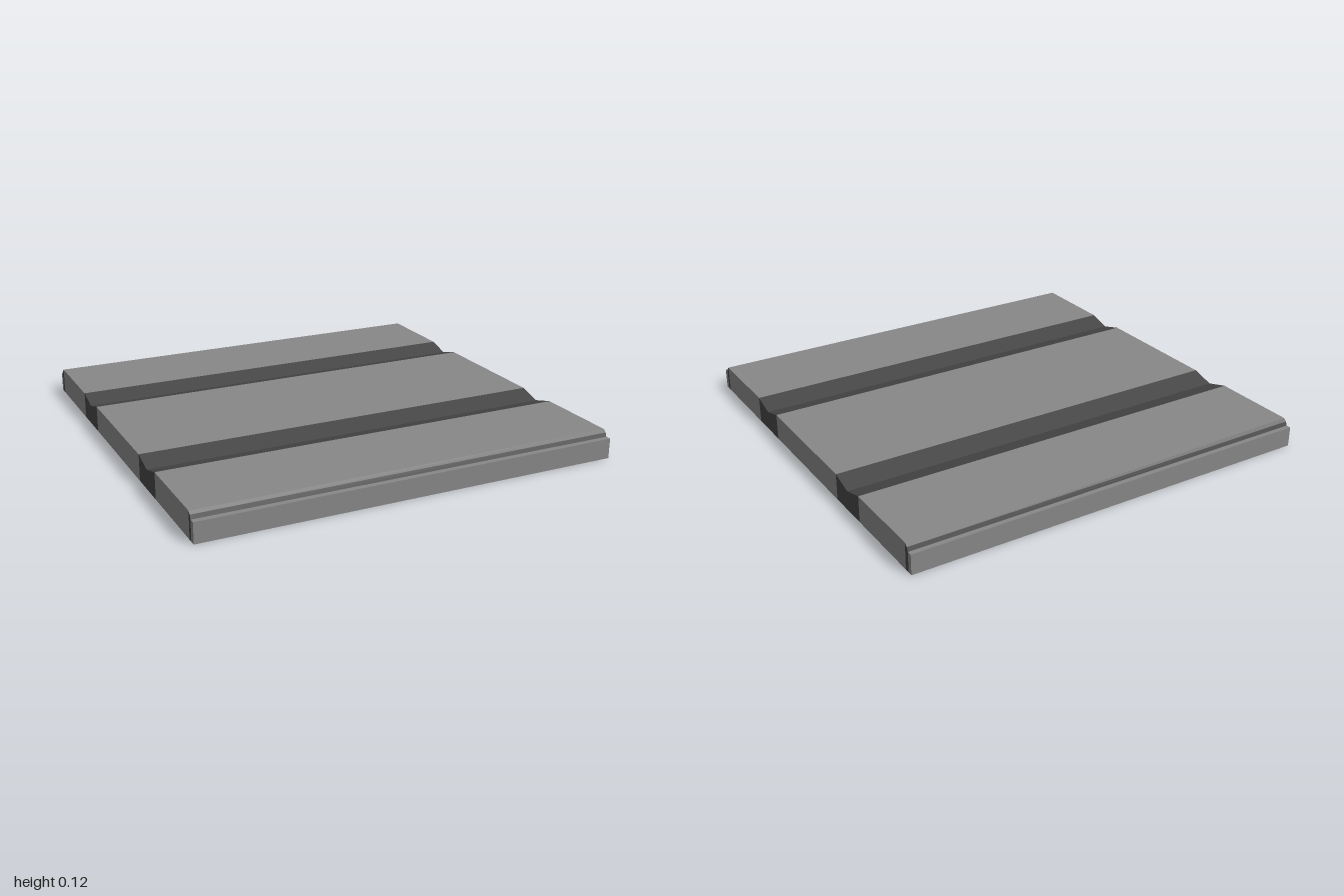
import * as THREE from 'three';

const TOP = 0.125, LOW = 0.095;

// Extrudes a [z, y] cross-section across the full width of the slab
function strip(name, points, material) {
  const shape = new THREE.Shape(points.map(([z, y]) => new THREE.Vector2(-z, y)));
  const geometry = new THREE.ExtrudeGeometry(shape, { depth: 2, bevelEnabled: false });
  geometry.rotateY(Math.PI / 2).translate(-1, 0, 0);
  const mesh = new THREE.Mesh(geometry, material);
  mesh.name = name;
  return mesh;
}

const slab = (z0, z1) => [[z0, 0], [z1, 0], [z1, TOP], [z0, TOP]];

export function createModel() {
  const group = new THREE.Group();
  group.name = 'groovedSlab';
  const light = new THREE.MeshStandardMaterial({ color: 0x878787, flatShading: true });
  const dark = new THREE.MeshStandardMaterial({ color: 0x464646, flatShading: true });

  // Flat panels between the grooves
  group.add(strip('centrePanel', slab(-0.33, 0.325), light));
  group.add(strip('frontPanel', slab(0.54, 0.953), light));
  group.add(strip('backPanel', slab(-0.955, -0.545), light));

  // Shallow V grooves
  for (const [name, z0, z1] of [['frontGroove', 0.325, 0.54], ['backGroove', -0.545, -0.33]]) {
    group.add(strip(name, [[z0, 0], [z1, 0], [z1, TOP], [(z0 + z1) / 2, LOW], [z0, TOP]], dark));
  }

  // Bevelled dark edging and the lower outer lip on both ends
  for (const [side, s, z0, z1] of [['front', 1, 0.953, 0.973], ['back', -1, 0.955, 0.977]]) {
    const edging = [[z0, 0], [z1, 0], [z1, LOW], [z1 - 0.007, 0.113], [z0, TOP]];
    const lip = [[z1, 0], [1, 0], [1, LOW], [z1, LOW]];
    group.add(strip(side + 'Edging', edging.map(([z, y]) => [s * z, y]), dark));
    group.add(strip(side + 'Lip', lip.map(([z, y]) => [s * z, y]), light));
  }
  return group;
}
